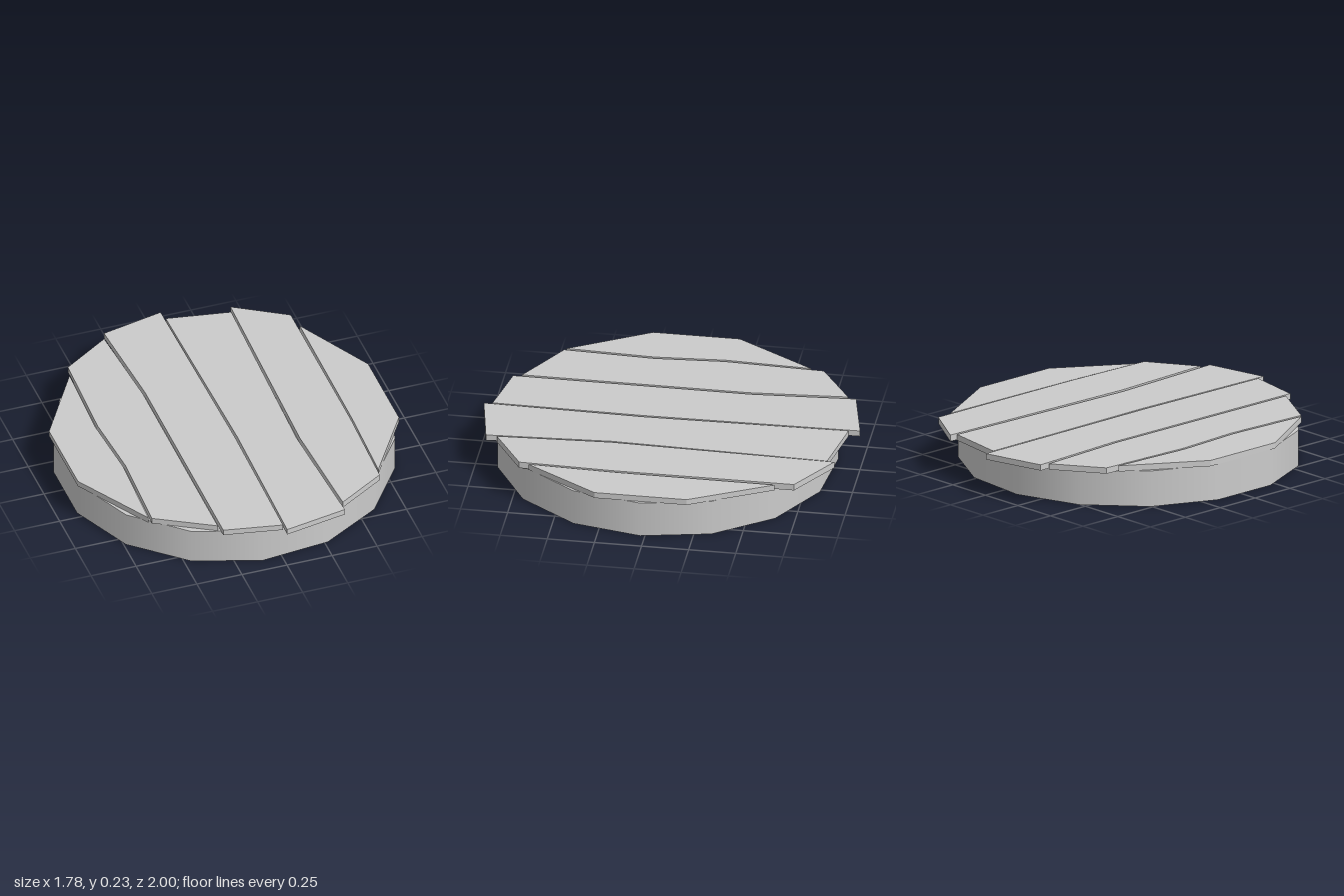
import * as THREE from 'three';

const material = new THREE.MeshStandardMaterial({ color: 0xcccccc, side: THREE.DoubleSide });
const RADIUS = 0.9, SIDES = 15, RIM_HEIGHT = 0.195, PLANK_BOTTOM = 0.197;

// Plank outlines as [x, z] corners: left edge back to front, then right edge front to back
const planks = [
  { top: 0.229, outline: [[-0.895, -0.22], [-0.895, 0.24], [-0.65, 0.66], [-0.63, 0.19], [-0.655, -0.18], [-0.635, -0.64]] },
  { top: 0.229, outline: [[-0.62, -0.71], [-0.64, -0.18], [-0.615, 0.19], [-0.635, 0.67], [-0.33, 0.845], [-0.325, -0.36], [-0.36, -0.88]] },
  { top: 0.229, outline: [[-0.345, -0.925], [-0.31, -0.37], [-0.315, 0.89], [-0.005, 0.95], [0.007, 0.15], [-0.005, -1.0]] },
  { top: 0.229, outline: [[0.003, -0.94], [0.02, 0.15], [0.003, 0.995], [0.345, 0.93], [0.31, 0.27], [0.345, -0.88]] },
  { top: 0.232, outline: [[0.355, -0.92], [0.325, 0.27], [0.355, 0.87], [0.615, 0.71], [0.63, 0.2], [0.63, -0.75]] },
  { top: 0.229, outline: [[0.645, -0.65], [0.64, 0.2], [0.625, 0.66], [0.875, 0.27], [0.875, -0.22]] },
];

function createPlank({ top, outline }, index) {
  const shape = new THREE.Shape(outline.map(([x, z]) => new THREE.Vector2(x, -z)));
  const geometry = new THREE.ExtrudeGeometry(shape, { depth: top - PLANK_BOTTOM, bevelEnabled: false });
  geometry.rotateX(-Math.PI / 2);
  const plank = new THREE.Mesh(geometry, material);
  plank.position.y = PLANK_BOTTOM;
  plank.name = `plank${index + 1}`;
  return plank;
}

export function createModel() {
  const model = new THREE.Group();
  model.name = 'plankLid';

  // Thin round rim, open at the bottom
  const base = new THREE.Group();
  base.name = 'base';
  base.position.set(-0.01, 0, 0.025);
  const rim = new THREE.Mesh(
    new THREE.CylinderGeometry(RADIUS, RADIUS, RIM_HEIGHT, SIDES, 1, true, Math.PI / 2), material);
  rim.position.y = RIM_HEIGHT / 2;
  rim.name = 'rim';

  // Disc closing the rim beneath the planks
  const disc = new THREE.Mesh(new THREE.CircleGeometry(RADIUS, SIDES).rotateX(-Math.PI / 2), material);
  disc.position.y = RIM_HEIGHT;
  disc.name = 'topDisc';
  base.add(rim, disc);

  // Uneven boards laid side by side
  const boards = new THREE.Group();
  boards.name = 'planks';
  boards.add(...planks.map(createPlank));

  model.add(base, boards);
  return model;
}
